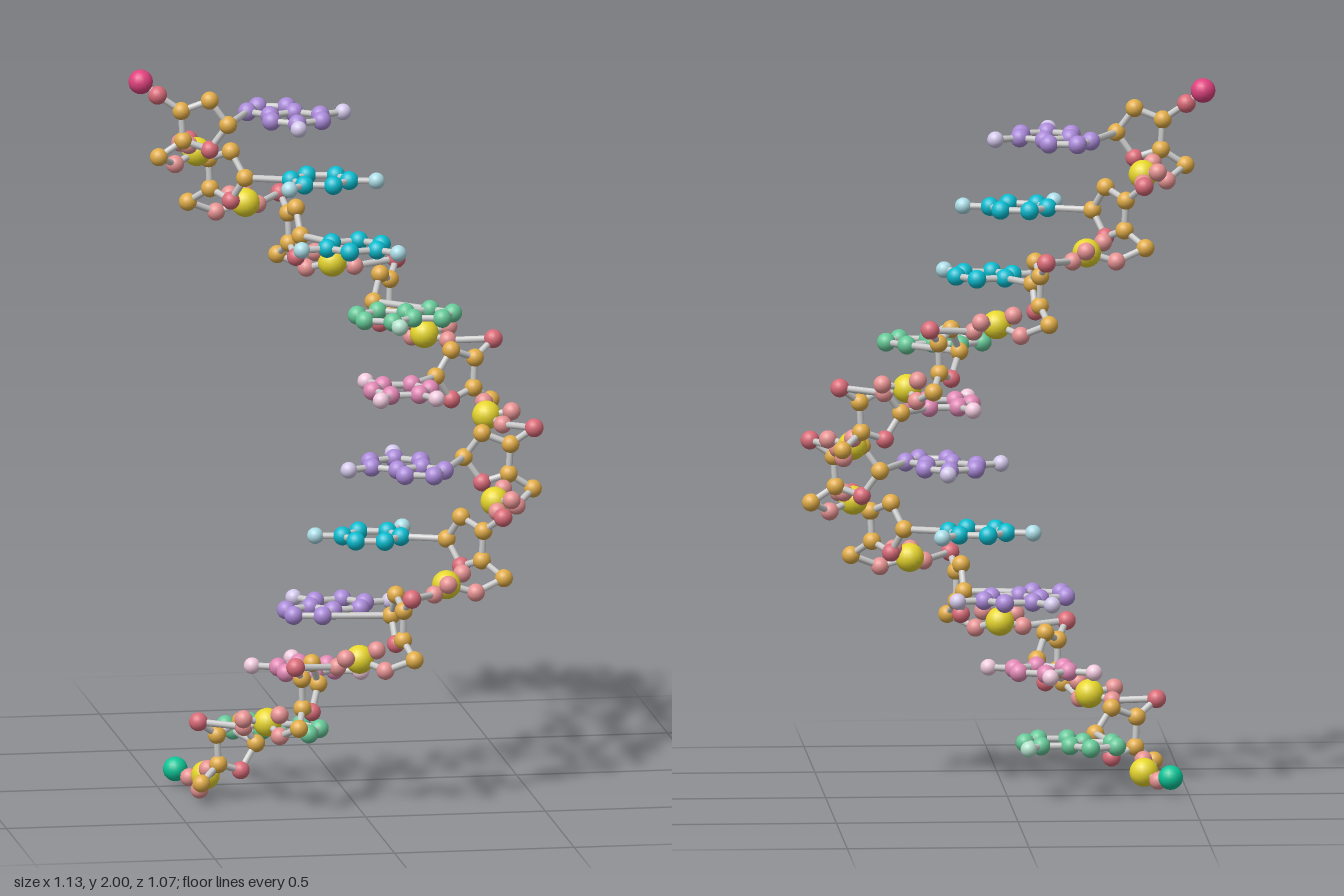
import * as THREE from 'three';

const COUNT = 10, RISE = 0.1885, TWIST = 36, AXIS_X = 0.025, TOP = 1.93, START = -173.4;
const RAD = Math.PI / 180;

const mat = (color, extra = {}) => new THREE.MeshStandardMaterial({ color, ...extra });
const MAT = {
  stick: mat(0xcccccc), carbon: mat(0xe0ac48), oxygen: mat(0xd96b78), phosphateOxygen: mat(0xe69292),
  phosphorus: mat(0xe6d62e), topEnd: mat(0xe0427f), bottomEnd: mat(0x0cc597),
};
// Base kinds: two rings or one, and which ring corners carry a side atom
const BASES = {
  violet: { main: mat(0xaa8ad8), side: mat(0xd3c8ea), double: true, sides: [96, -24] },
  green: { main: mat(0x66c898), side: mat(0xb4e2cc), double: true, sides: [-24] },
  cyan: { main: mat(0x08bccf), side: mat(0xacdce6), double: false, sides: [96, -24] },
  pink: { main: mat(0xe088b4), side: mat(0xf0cadd), double: false, sides: [96, -24, -84] },
};
const SEQUENCE = ['violet', 'cyan', 'cyan', 'green', 'pink', 'violet', 'cyan', 'violet', 'pink', 'green'];

const ballGeo = new THREE.SphereGeometry(1, 18, 12);
const stickGeo = new THREE.CylinderGeometry(0.0095, 0.0095, 1, 8, 1, true);

// Point at radius r, angle a (degrees from the nucleotide's own direction), height y
const polar = (r, a, y) => {
  const t = (START + a) * RAD;
  return new THREE.Vector3(r * Math.cos(t), y, r * Math.sin(t));
};

function ball(group, name, p, radius, material) {
  const m = new THREE.Mesh(ballGeo, material);
  m.name = name;
  m.position.copy(p);
  m.scale.setScalar(radius);
  group.add(m);
  return p;
}

function stick(group, a, b) {
  const m = new THREE.Mesh(stickGeo, MAT.stick);
  m.name = 'bond';
  const d = b.clone().sub(a);
  m.position.copy(a).addScaledVector(d, 0.5);
  m.scale.y = d.length();
  m.quaternion.setFromUnitVectors(new THREE.Vector3(0, 1, 0), d.normalize());
  group.add(m);
}

function chain(group, points, closed = false) {
  points.forEach((p, i) => {
    if (i + 1 < points.length) stick(group, p, points[i + 1]);
    else if (closed) stick(group, p, points[0]);
  });
}

// Flat base; returns the atom that joins the sugar
function buildBase(group, kind) {
  const { main, side, double, sides } = BASES[kind];
  const y = -0.083, centre = new THREE.Vector3(-0.125, y, -0.09);
  const at = (c, r, deg) => new THREE.Vector3(c.x + r * Math.cos(deg * RAD), y, c.z + r * Math.sin(deg * RAD));
  const hex = [-144, -84, -24, 36, 96, 156].map((a) => at(centre, 0.08, a));
  hex.forEach((p) => ball(group, 'baseAtom', p, 0.026, main));
  chain(group, hex, true);
  for (const a of sides) {
    const p = ball(group, 'baseSideAtom', at(centre, 0.155, a), 0.023, side);
    stick(group, at(centre, 0.08, a), p);
  }
  if (!double) return hex[5];
  // five-sided ring sharing one edge of the hexagon
  const c5 = at(centre, 0.124, -114);
  const pent = [-186, -114, -42].map((a) => at(c5, 0.068, a));
  pent.forEach((p) => ball(group, 'baseAtom', p, 0.026, main));
  chain(group, [hex[0], ...pent, hex[1]]);
  return pent[0];
}

function buildNucleotide(k) {
  const g = new THREE.Group();
  g.name = 'nucleotide' + (k + 1);
  const last = k === COUNT - 1;

  // Sugar: upright five-sided ring with an outer oxygen and a tail carbon
  const outer = ball(g, 'cornerOxygen', polar(0.518, 0, 0), 0.026, MAT.oxygen);
  const ring = [[0.453, 0, -0.045], [0.375, -1, -0.015], [0.325, -2, -0.083], [0.375, -1, -0.153], [0.448, 0, -0.128]]
    .map(([r, a, y], i) => ball(g, i === 3 ? 'sugarOxygen' : 'sugarCarbon', polar(r, a, y), 0.025,
      i === 3 ? MAT.oxygen : MAT.carbon));
  chain(g, ring, true);
  stick(g, outer, ring[0]);
  const tail = ball(g, 'tailCarbon', polar(0.515, -1, -0.172), 0.025, MAT.carbon);
  stick(g, ring[4], tail);

  // Phosphate
  const p = ball(g, 'phosphorus', polar(0.42, 15.4, -0.182), 0.04, MAT.phosphorus);
  const po = (r, a, y) => ball(g, 'phosphateOxygen', polar(r, a, y), 0.025, MAT.phosphateOxygen);
  const link = po(0.471, 7.2, -0.206);
  const inner = po(0.435, 9.3, -0.155);
  const bridge = po(0.446, 23.5, -0.198);
  chain(g, [tail, link, p, bridge]);
  stick(g, p, inner);

  // Link to the next nucleotide, or the lower end cap
  if (last) {
    stick(g, bridge, ball(g, 'bottomEnd', polar(0.475, 29.4, -0.183), 0.034, MAT.bottomEnd));
  } else {
    stick(g, p, po(0.479, 20.5, -0.168));
    stick(g, bridge, polar(0.518, TWIST, -RISE));
  }
  if (k === 0) {
    stick(g, outer, ball(g, 'topEnd', new THREE.Vector3(-0.56, 0.037, -0.07), 0.034, MAT.topEnd));
  }

  stick(g, ring[2], buildBase(g, SEQUENCE[k]));
  g.position.set(AXIS_X, TOP - k * RISE, 0);
  g.rotation.y = -k * TWIST * RAD;
  return g;
}

export function createModel() {
  const model = new THREE.Group();
  model.name = 'helixStrand';
  for (let k = 0; k < COUNT; k++) model.add(buildNucleotide(k));
  return model;
}
